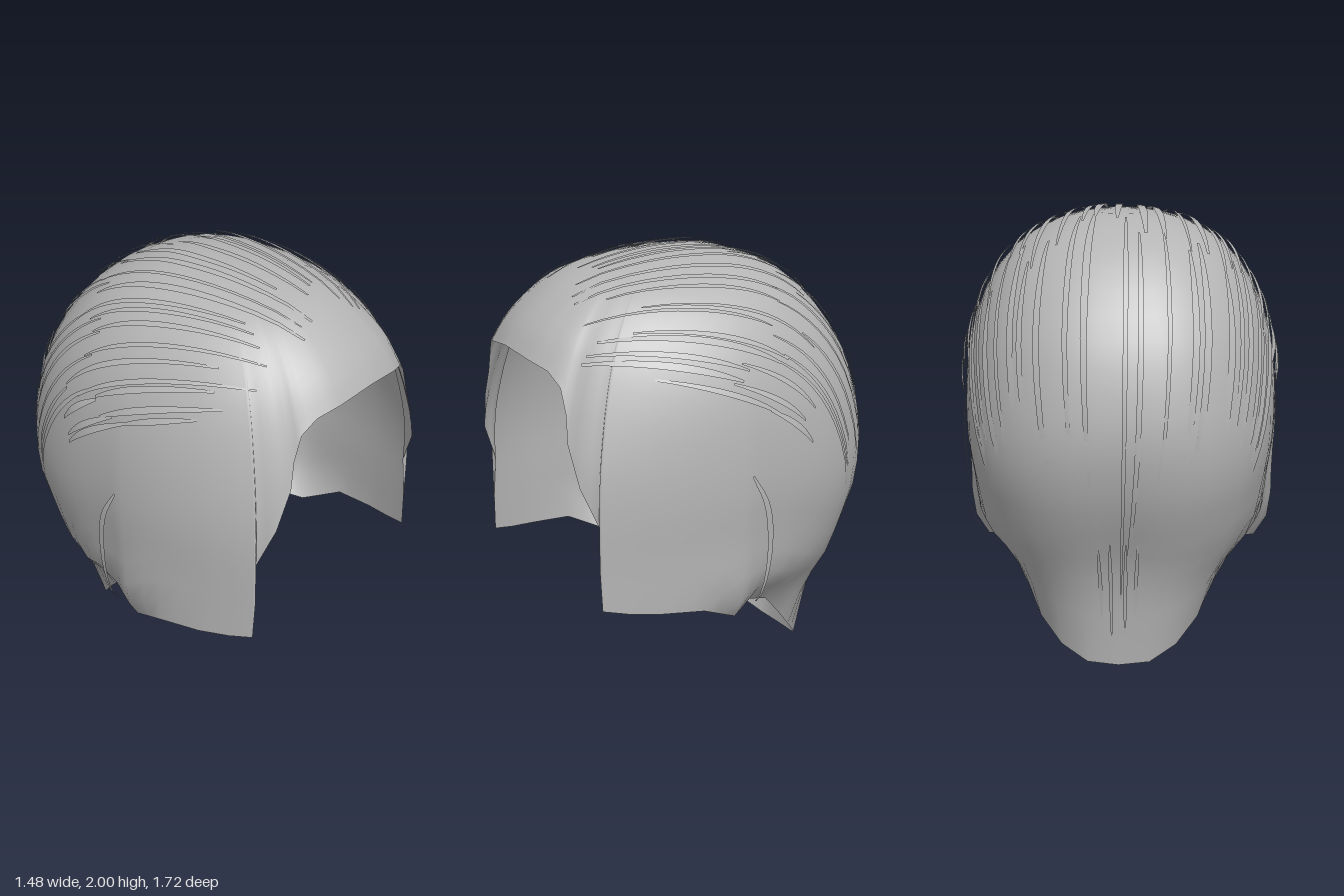
import * as THREE from 'three';

const V = (x, y, z) => new THREE.Vector3(x, y, z);
const CENTRE = V(0, 1.1, 0);

// Half outlines [distance from axis, height], turned into radius by angle from the top
function outline(points) {
  const [h1, y1] = points[1];
  const curve = new THREE.SplineCurve([[-h1, y1], ...points].map(([h, y]) => new THREE.Vector2(h, y - CENTRE.y)));
  const table = curve.getPoints(240).map((p) => [Math.atan2(p.x, p.y), p.length()]);
  return (angle) => {
    let k = 1;
    while (k < table.length - 1 && table[k][0] < angle) k++;
    const [a0, r0] = table[k - 1], [a1, r1] = table[k];
    return r0 + (r1 - r0) * THREE.MathUtils.clamp((angle - a0) / (a1 - a0), 0, 1);
  };
}
const front = outline([[0, 1.987], [0.22, 1.98], [0.44, 1.945], [0.61, 1.885], [0.78, 1.75], [0.87, 1.625],
  [0.98, 1.4], [1.07, 1.1], [1.05, 0.6], [0.95, 0]]);
const side = outline([[0, 1.987], [0.22, 1.965], [0.39, 1.895], [0.53, 1.78], [0.64, 1.6], [0.7, 1.4],
  [0.725, 1.2], [0.73, 1], [0.715, 0.8], [0.7, 0.55], [0.62, 0.42], [0.5, 0.2], [0.4, 0]]);
const back = outline([[0, 1.987], [0.2, 1.972], [0.44, 1.88], [0.62, 1.71], [0.755, 1.49], [0.82, 1.25],
  [0.835, 1.05], [0.78, 0.8], [0.685, 0.58], [0.62, 0.4], [0.595, 0.2], [0.58, 0]]);

// Head radius along a direction, blending the outlines around the vertical axis
function radius(dir) {
  const angle = Math.acos(THREE.MathUtils.clamp(dir.y, -1, 1));
  const h = Math.hypot(dir.x, dir.z);
  const fb = (dir.z > 0 ? front : back)(angle);
  if (h < 1e-6) return fb;
  const p = dir.z > 0 ? 2 : 2 + 0.25 * Math.sin(angle) ** 2 + 0.8 * Math.min(0, dir.y + 0.25);
  return (Math.abs(dir.x / h / side(angle)) ** p + Math.abs(dir.z / h / fb) ** p) ** (-1 / p);
}
const onHead = (dir, lift = 0) => dir.clone().multiplyScalar(radius(dir) + lift).add(CENTRE);

// Left half of the hairline, from the forehead round to the nape
const HAIRLINE = [
  [0, 1.625, 0.87], [0.2, 1.6, 0.85], [0.31, 1.57, 0.81], [0.38, 1.51, 0.785], [0.42, 1.4, 0.78],
  [0.45, 1.28, 0.79], [0.52, 1.1, 0.77], [0.565, 0.92, 0.7], [0.58, 0.72, 0.71], [0.59, 0.55, 0.705],
  [0.625, 0.53, 0.6], [0.665, 0.515, 0.46], [0.695, 0.5, 0.26], [0.64, 0.415, 0.07], [0.57, 0.45, -0.05],
  [0.5, 0.4, -0.18], [0.42, 0.28, -0.3], [0.36, 0.17, -0.4], [0.26, 0.07, -0.5], [0.14, 0.01, -0.565], [0, 0, -0.58],
].map((p) => V(...p));

function makeGeometry(positions, index) {
  const g = new THREE.BufferGeometry();
  g.setAttribute('position', new THREE.Float32BufferAttribute(positions, 3));
  g.setIndex(index);
  g.computeVertexNormals();
  return g;
}

// Open shell: meridians run from the top of the head down to the hairline
function capGeometry(rows = 20) {
  const loop = [...HAIRLINE, ...HAIRLINE.slice(1, -1).reverse().map((p) => V(-p.x, p.y, p.z))];
  const rim = loop.flatMap((p, i) => [p, p.clone().lerp(loop[(i + 1) % loop.length], 0.5)]);
  const n = rim.length, index = [];
  const positions = onHead(V(0, 1, 0)).toArray();
  for (const end of rim) {
    const ray = end.clone().sub(CENTRE), endDir = ray.clone().normalize();
    const fit = ray.length() / radius(endDir);
    const total = Math.acos(endDir.y);
    const flat = V(endDir.x, 0, endDir.z).normalize();
    for (let r = 1; r <= rows; r++) {
      const t = r / rows, a = total * t;
      const dir = flat.clone().multiplyScalar(Math.sin(a)).setY(Math.cos(a));
      const p = dir.clone().multiplyScalar(radius(dir) * (1 + (fit - 1) * t ** 3)).add(CENTRE);
      positions.push(p.x, p.y, p.z);
    }
  }
  for (let j = 0; j < n; j++) {
    const a = 1 + j * rows, b = 1 + ((j + 1) % n) * rows;
    index.push(0, a, b);
    for (let r = 0; r < rows - 1; r++) index.push(a + r, a + r + 1, b + r, b + r, a + r + 1, b + r + 1);
  }
  return makeGeometry(positions, index);
}

// Thin ribbon following a path of directions, tapering at the ends
function ribbonGeometry(path, width, lift, steps = 14) {
  const positions = [], index = [];
  for (let i = 0; i <= steps; i++) {
    const t = i / steps, d = path(t);
    const along = path(Math.min(1, t + 0.02)).sub(path(Math.max(0, t - 0.02)));
    const across = along.cross(d).normalize();
    const bulge = Math.sin(Math.PI * t);
    const half = width * (0.35 + 0.65 * bulge) / 2;
    const p = onHead(d, lift * (0.5 + 0.5 * bulge));
    for (const s of [-1, 1]) positions.push(...p.clone().addScaledVector(across, s * half).toArray());
    if (i < steps) {
      const k = i * 2;
      index.push(k, k + 1, k + 2, k + 1, k + 3, k + 2);
    }
  }
  return makeGeometry(positions, index);
}

// Combed-back flow: roll picks the lane, u runs from forehead to nape
function flow(roll, u) {
  const v = 1 - u, m = 4 * u * v;
  return V(Math.sin(roll) * (m + 0.17 * u * u), 0.35 * v * v + m * Math.cos(roll) - 0.87 * u * u,
    v * v - 0.45 * m - 0.47 * u * u).normalize();
}

export function createModel() {
  const group = new THREE.Group();
  const hair = new THREE.MeshStandardMaterial({ color: 0xb4b4b4, side: THREE.DoubleSide });
  hair.name = 'hair grey';
  const add = (geometry, name) => {
    const mesh = new THREE.Mesh(geometry, hair);
    mesh.name = name;
    group.add(mesh);
  };
  add(capGeometry(), 'hairCap');

  let seed = 7;
  const rand = () => (seed = (seed * 16807) % 2147483647) / 2147483647;

  // Combed strands in lanes from ear to ear; the lowest ones stop above the ear
  const lanes = 27;
  for (let i = 0; i < lanes; i++) {
    const roll = (i / (lanes - 1) - 0.5) * 2 * 1.22;
    const low = Math.abs(roll) > 1;
    const cut = low ? 0.3 + rand() * 0.1 : 0.4 + rand() * 0.2;
    const spans = [[0.11 + rand() * 0.08, cut], [cut - 0.05 * rand(), low ? 0.5 + rand() * 0.1 : 0.88 + rand() * 0.1]];
    for (const [u0, u1] of spans) {
      const lane = roll + (rand() - 0.5) * 0.06;
      add(ribbonGeometry((t) => flow(lane, u0 + (u1 - u0) * t), 0.02 + rand() * 0.018, 0.012 + rand() * 0.008), 'strand');
    }
  }

  // Loose strand behind each temple, and short wisps at the nape
  for (const s of [-1, 1]) {
    const temple = new THREE.CatmullRomCurve3([V(s * 0.72, 0, 0.04), V(s * 0.73, -0.14, -0.03),
      V(s * 0.71, -0.35, -0.06), V(s * 0.65, -0.6, -0.02)]);
    add(ribbonGeometry((t) => temple.getPoint(t).normalize(), 0.03, 0.012), 'templeStrand');
    for (let i = 0; i < 4; i++) {
      const x = s * (0.03 + i * 0.045);
      const wisp = new THREE.LineCurve3(V(x * 1.2, -0.5, -0.72), V(x, -0.92 - 0.06 * rand(), -0.6));
      add(ribbonGeometry((t) => wisp.getPoint(t).normalize(), 0.018, 0.025, 5), 'napeWisp');
    }
  }
  return group;
}
